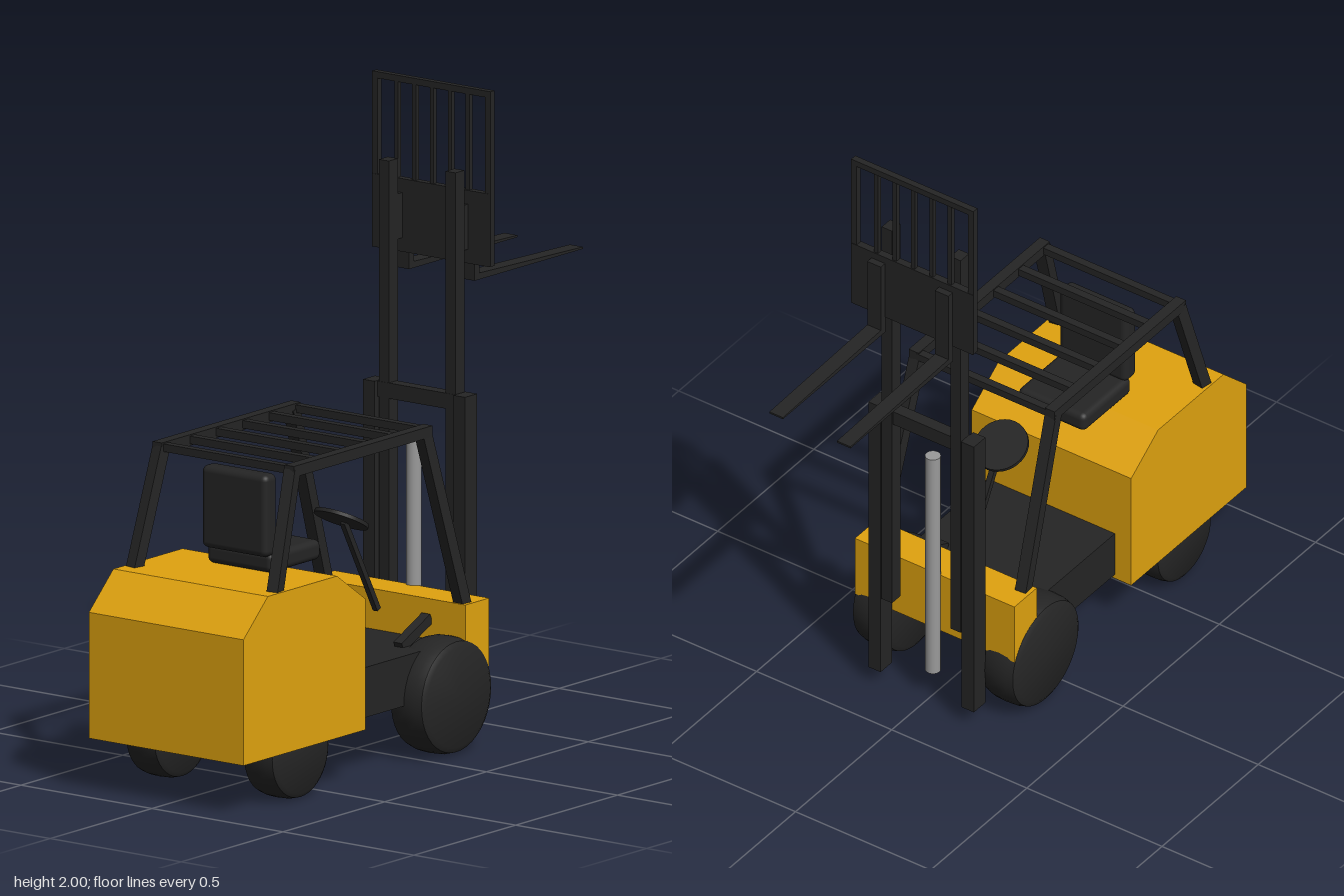
import * as THREE from 'three';
import { RoundedBoxGeometry } from 'three/addons/geometries/RoundedBoxGeometry.js';
import { toCreasedNormals } from 'three/addons/utils/BufferGeometryUtils.js';

export function createModel() {
  const model = new THREE.Group();
  model.name = 'forklift';

  const mat = (name, color) => {
    const m = new THREE.MeshStandardMaterial({ color });
    m.name = name;
    return m;
  };
  const yellow = mat('yellowPaint', 0xe0a30f);
  const dark = mat('darkMetal', 0x252525);
  const steel = mat('steel', 0x9a9a9a);

  const add = (name, geometry, material) => {
    const mesh = new THREE.Mesh(geometry, material);
    mesh.name = name;
    model.add(mesh);
    return mesh;
  };

  // Box given by its limits on each axis
  const box = (name, material, [x0, x1], [y0, y1], [z0, z1], radius = 0) => {
    const size = [x1 - x0, y1 - y0, z1 - z0];
    const geometry = radius ? new RoundedBoxGeometry(...size, 3, radius) : new THREE.BoxGeometry(...size);
    const mesh = add(name, geometry, material);
    mesh.position.set((x0 + x1) / 2, (y0 + y1) / 2, (z0 + z1) / 2);
    return mesh;
  };

  // Square beam between two points
  const beam = (name, a, b, width, depth = width) => {
    const from = new THREE.Vector3(...a), to = new THREE.Vector3(...b);
    const mesh = add(name, new THREE.BoxGeometry(width, depth, from.distanceTo(to)), dark);
    mesh.position.copy(from).add(to).multiplyScalar(0.5);
    mesh.lookAt(to);
    return mesh;
  };

  // Side profile of [z, y] points, extruded across x
  const sideProfile = (name, material, points, x0, x1) => {
    const shape = new THREE.Shape(points.map(([z, y]) => new THREE.Vector2(-z, y)));
    const geometry = new THREE.ExtrudeGeometry(shape, { depth: x1 - x0, bevelEnabled: false });
    geometry.rotateY(Math.PI / 2).translate(x0, 0, 0);
    return add(name, geometry, material);
  };

  // Tyre with rounded shoulders, axle along x
  const wheel = (name, x, y, z, r, width) => {
    const h = width / 2;
    const profile = [
      [0, -h], [r * 0.86, -h], [r * 0.95, -h * 0.86], [r * 0.99, -h * 0.5], [r, 0],
      [r * 0.99, h * 0.5], [r * 0.95, h * 0.86], [r * 0.86, h], [0, h],
    ].map(([px, py]) => new THREE.Vector2(px, py));
    const geometry = toCreasedNormals(new THREE.LatheGeometry(profile, 40), 0.6);
    geometry.rotateZ(Math.PI / 2);
    add(name, geometry, dark).position.set(x, y, z);
  };

  // Body
  sideProfile('counterweight', yellow, [
    [0.93, 0.165], [0.93, 0.555], [0.81, 0.667], [0.47, 0.667], [0.33, 0.57], [0.33, 0.165],
  ], -0.295, 0.295);
  box('chassis', dark, [-0.235, 0.235], [0.18, 0.335], [-0.16, 0.34]);
  box('frontCowl', yellow, [-0.295, 0.295], [0.25, 0.46], [-0.277, -0.16]);

  // Seat
  box('seatCushion', dark, [-0.125, 0.125], [0.667, 0.73], [0.325, 0.575], 0.02);
  box('seatBack', dark, [-0.125, 0.125], [0.72, 0.975], [0.54, 0.602], 0.02);

  // Steering and pedal
  beam('steeringColumn', [0, 0.415, -0.105], [0, 0.715, 0.058], 0.018);
  const steeringWheel = add('steeringWheel', new THREE.CylinderGeometry(0.086, 0.086, 0.012, 32), dark);
  steeringWheel.position.set(0, 0.727, 0.069);
  steeringWheel.rotation.x = -0.51;
  beam('pedal', [0.15, 0.335, -0.02], [0.15, 0.4, -0.16], 0.032);

  for (const s of [-1, 1]) {
    // Wheels
    wheel('frontWheel', s * 0.237, 0.184, -0.115, 0.18, 0.136);
    wheel('rearWheel', s * 0.225, 0.148, 0.63, 0.145, 0.125);

    // Overhead guard sides
    beam('guardRail', [s * 0.252, 1.019, -0.032], [s * 0.252, 1.019, 0.65], 0.036, 0.034);
    beam('guardFrontLeg', [s * 0.25, 1.02, -0.008], [s * 0.264, 0.45, -0.188], 0.038);
    beam('guardRearLeg', [s * 0.25, 1.02, 0.632], [s * 0.268, 0.655, 0.742], 0.038);

    // Mast rails
    const span = (a, b) => (s > 0 ? [a, b] : [-b, -a]);
    box('outerMastRail', dark, span(0.15, 0.195), [0.06, 1.065], [-0.347, -0.287]);
    box('innerMastRail', dark, span(0.108, 0.146), [0.34, 1.75], [-0.347, -0.303]);

    // Forks: upright shank and tapering tine
    sideProfile('fork', dark, [
      [-0.392, 1.66], [-0.392, 1.4], [-0.925, 1.4], [-0.925, 1.406], [-0.416, 1.42], [-0.416, 1.66],
    ], s * 0.125 - 0.025, s * 0.125 + 0.025);

    // Load backrest frame side
    box('backrestSide', dark, span(0.206, 0.226), [1.46, 2], [-0.393, -0.372]);
  }

  // Overhead guard cross bars
  for (let i = 0; i < 6; i++) {
    const z = -0.02 + i * 0.13;
    box('guardCrossBar', dark, [-0.24, 0.24], [1.008, 1.032], [z - 0.013, z + 0.013]);
  }

  // Mast cross beam and lift cylinder
  box('mastCrossBeam', dark, [-0.155, 0.155], [1.015, 1.063], [-0.342, -0.302]);
  const lift = add('liftCylinder', new THREE.CylinderGeometry(0.024, 0.024, 0.81, 20), steel);
  lift.position.set(0, 0.505, -0.286);

  // Carriage and load backrest
  box('carriagePlate', dark, [-0.225, 0.225], [1.457, 1.683], [-0.394, -0.37]);
  box('backrestTop', dark, [-0.226, 0.226], [1.98, 2], [-0.393, -0.372]);
  for (const x of [-0.136, -0.068, 0, 0.068, 0.136]) {
    box('backrestBar', dark, [x - 0.007, x + 0.007], [1.67, 1.985], [-0.39, -0.375]);
  }

  // Mounts joining carriage to the inner rails
  for (const s of [-1, 1]) {
    box('carriageMount', dark, [s * 0.125 - 0.016, s * 0.125 + 0.016], [1.5, 1.64], [-0.372, -0.345]);
  }

  return model;
}
